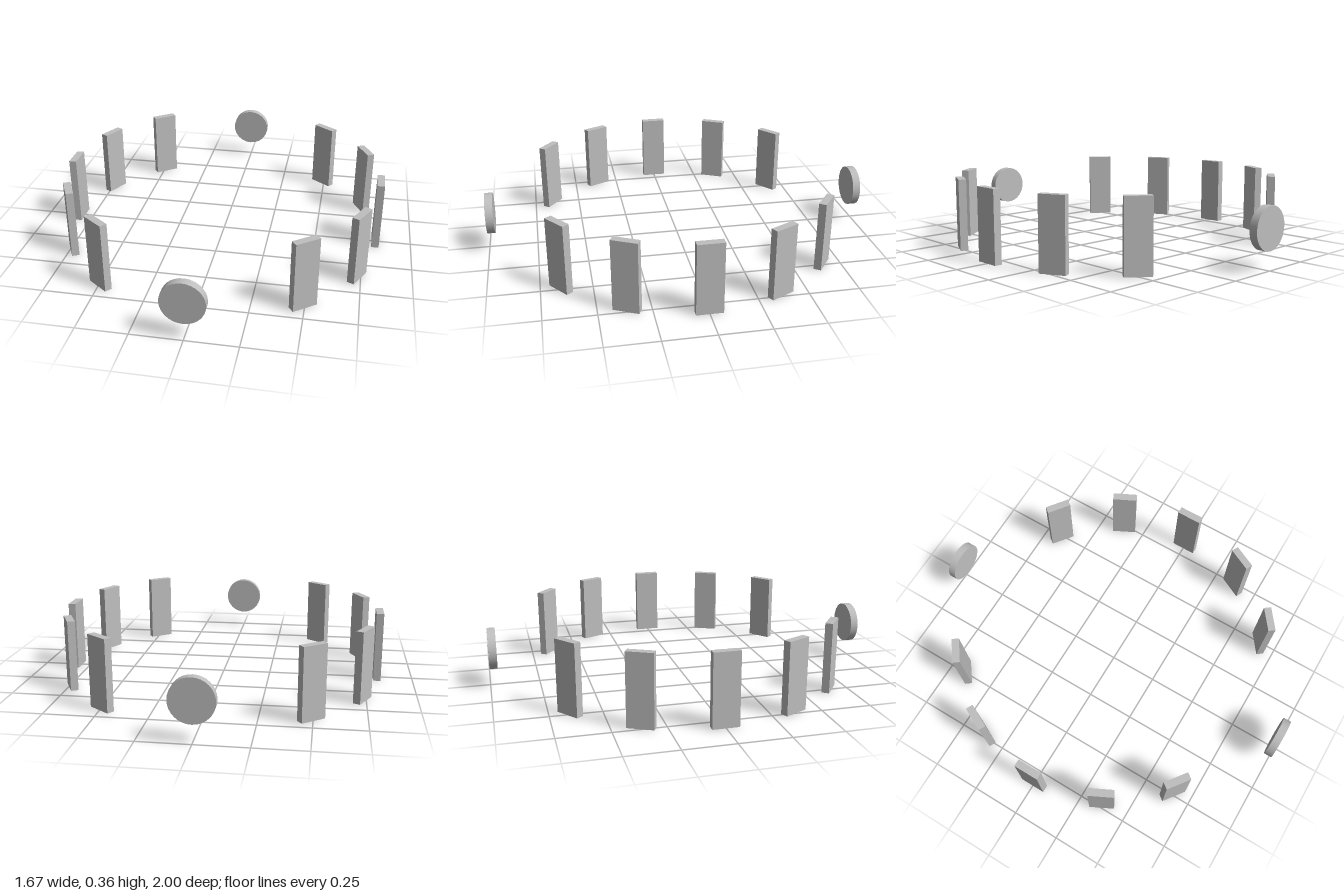
import * as THREE from 'three';

export function createModel() {
  const model = new THREE.Group();
  const grey = new THREE.MeshStandardMaterial({ color: 0xbfbfbf });

  // Upright slabs on a circle, each facing outward; left and right rows of five
  const slab = new THREE.BoxGeometry(0.038, 0.36, 0.13);
  const radius = 0.816;
  for (const side of [0, 180]) {
    for (const step of [-2, -1, 0, 1, 2]) {
      const angle = THREE.MathUtils.degToRad(side + step * 26.5);
      const mesh = new THREE.Mesh(slab, grey);
      mesh.name = side === 0 ? 'leftSlab' : 'rightSlab';
      mesh.position.set(radius * Math.cos(angle), 0.18, radius * Math.sin(angle));
      mesh.rotation.y = -angle;
      model.add(mesh);
    }
  }

  // Round discs standing on edge at the front and back
  const disc = new THREE.CylinderGeometry(0.105, 0.105, 0.04, 32);
  disc.rotateX(Math.PI / 2);
  for (const end of [1, -1]) {
    const mesh = new THREE.Mesh(disc, grey);
    mesh.name = end > 0 ? 'frontDisc' : 'backDisc';
    mesh.position.set(0, 0.195, end * 0.98);
    model.add(mesh);
  }

  grey.name = 'grey';
  return model;
}
